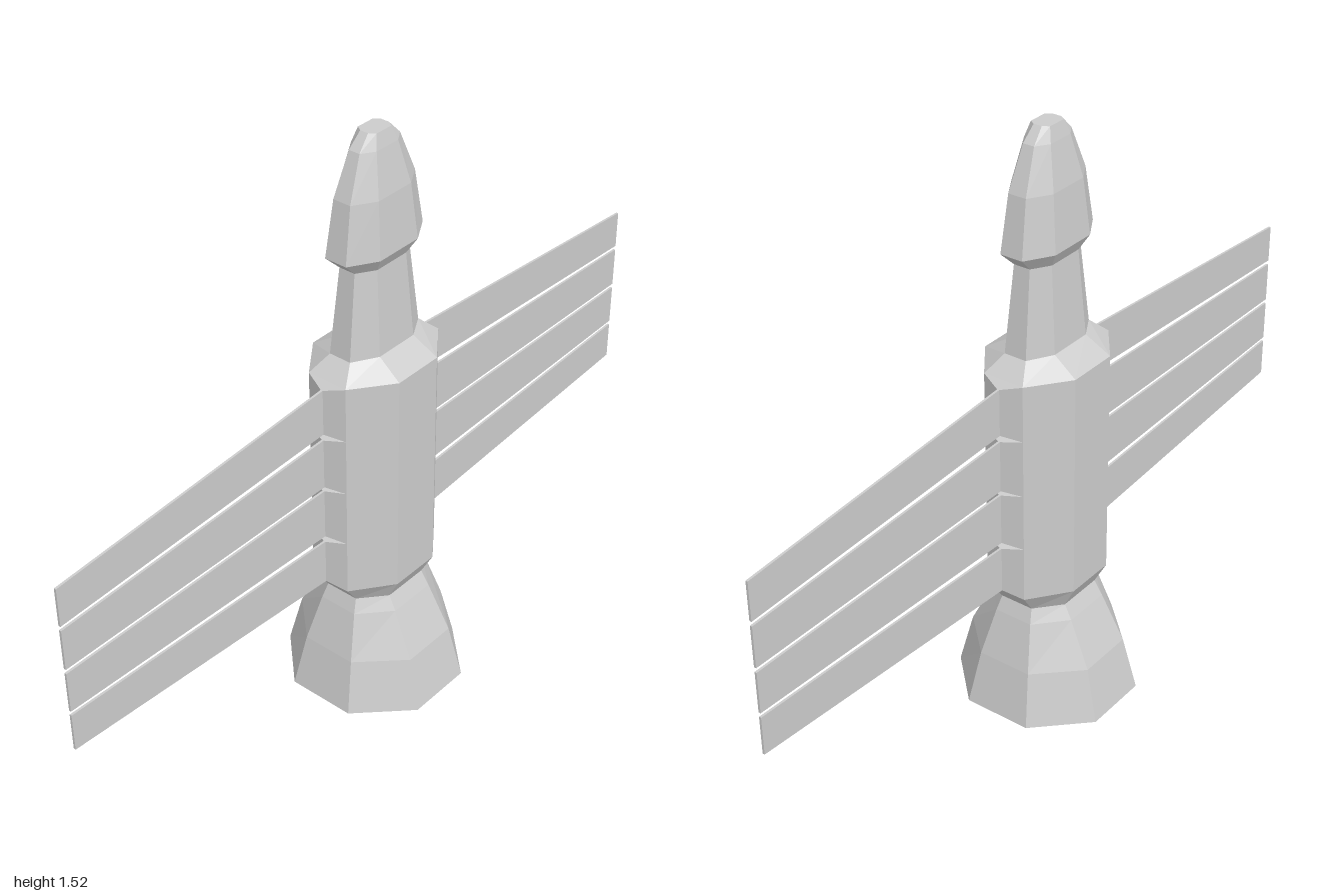
import * as THREE from 'three';

const material = new THREE.MeshStandardMaterial({ color: 0xcccccc, flatShading: true });

// Skins a list of equal-length point loops, closing the chosen ends
function loft(name, loops, capStart = true, capEnd = true) {
  const pos = [];
  const tri = (...pts) => pts.forEach((p) => pos.push(...p));
  const n = loops[0].length;
  const centre = (loop) => [0, 1, 2].map((k) => loop.reduce((s, p) => s + p[k], 0) / n);
  for (let i = 0; i < n; i++) {
    const j = (i + 1) % n;
    for (let r = 0; r < loops.length - 1; r++) {
      const lo = loops[r], hi = loops[r + 1];
      tri(lo[i], hi[i], lo[j]);
      tri(lo[j], hi[i], hi[j]);
    }
    const first = loops[0], last = loops[loops.length - 1];
    if (capStart) tri(centre(first), first[i], first[j]);
    if (capEnd) tri(centre(last), last[j], last[i]);
  }
  const geometry = new THREE.BufferGeometry();
  geometry.setAttribute('position', new THREE.Float32BufferAttribute(pos, 3));
  geometry.computeVertexNormals();
  const mesh = new THREE.Mesh(geometry, material);
  mesh.name = name;
  return mesh;
}

// Eight-sided ring: half width a, half depth b, half lengths of the front and side flats
const octagon = ([y, a, b, fx, fz]) => [
  [a, y, fz], [fx, y, b], [-fx, y, b], [-a, y, fz],
  [-a, y, -fz], [-fx, y, -b], [fx, y, -b], [a, y, -fz],
];

// Rectangular section across a fin
const finSection = ([x, lo, hi, z]) => [[x, hi, z], [x, hi, -z], [x, lo, -z], [x, lo, z]];

export function createModel() {
  const model = new THREE.Group();
  const add = (name, rings, capStart, capEnd) =>
    model.add(loft(name, rings.map(octagon), capStart, capEnd));

  // Hollow engine bell: inside from the throat down to the rim, then the outside up
  add('engineBell', [
    [0.27, 0.12, 0.1, 0.058, 0.045],
    [0.14, 0.165, 0.168, 0.07, 0.068],
    [0, 0.197, 0.202, 0.08, 0.085],
    [0, 0.21, 0.215, 0.088, 0.09],
    [0.14, 0.178, 0.18, 0.076, 0.073],
    [0.26, 0.14, 0.121, 0.065, 0.052],
    [0.297, 0.125, 0.1, 0.062, 0.045],
  ], true, false);

  // Main body with tapered collars
  add('body', [
    [0.297, 0.125, 0.1, 0.062, 0.045],
    [0.353, 0.167, 0.13, 0.068, 0.055],
    [0.945, 0.167, 0.13, 0.068, 0.055],
    [0.985, 0.122, 0.066, 0.06, 0.03],
  ]);

  // Slim neck
  add('neck', [
    [0.985, 0.122, 0.066, 0.06, 0.03],
    [1.203, 0.095, 0.05, 0.05, 0.022],
  ]);

  // Flared nose cap
  add('noseCap', [
    [1.203, 0.095, 0.05, 0.05, 0.022],
    [1.24, 0.133, 0.071, 0.065, 0.03],
    [1.38, 0.11, 0.058, 0.055, 0.024],
    [1.485, 0.068, 0.036, 0.036, 0.015],
    [1.52, 0.035, 0.026, 0.025, 0.011],
  ]);

  // Four blades a side: wedge root on the body, then a thin tapering plate
  // [body low, body high, root low, root high, tip low, tip high]
  const blades = [
    [0.8, 0.945, 0.808, 0.93, 0.775, 0.875],
    [0.65, 0.8, 0.656, 0.791, 0.656, 0.763],
    [0.5, 0.65, 0.509, 0.644, 0.537, 0.644],
    [0.353, 0.5, 0.37, 0.492, 0.425, 0.525],
  ];
  for (const side of ['left', 'right']) {
    const wing = new THREE.Group();
    wing.name = side + 'Wing';
    blades.forEach(([b0, b1, r0, r1, t0, t1], i) => {
      wing.add(loft('blade' + (i + 1), [
        [0.167, b0, b1, 0.055],
        [0.186, r0, r1, 0.003],
        [1, t0, t1, 0.003],
      ].map(finSection)));
    });
    if (side === 'right') wing.rotation.y = Math.PI;
    model.add(wing);
  }
  return model;
}
